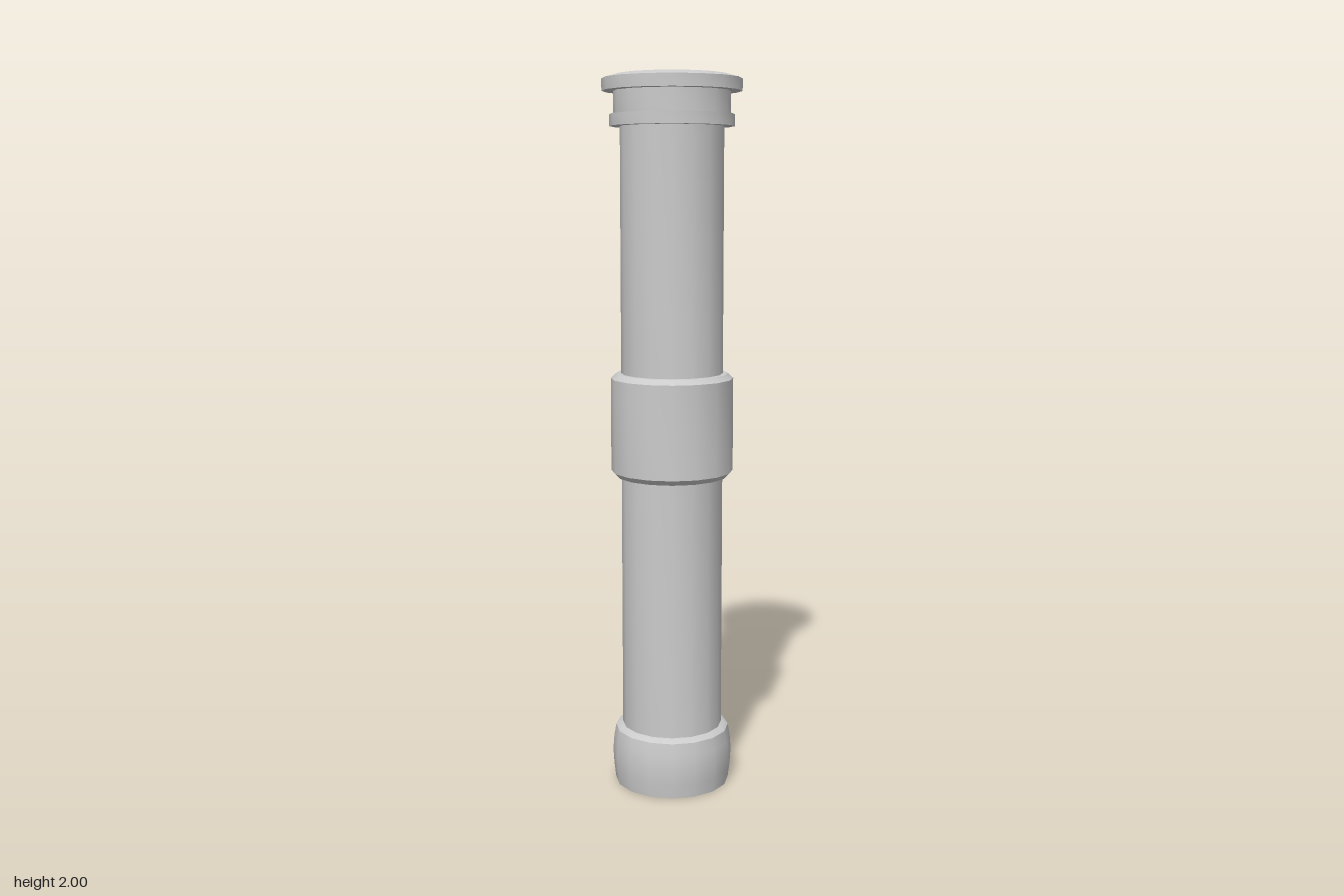
import * as THREE from 'three';
import { toCreasedNormals } from 'three/addons/utils/BufferGeometryUtils.js';

const SIDES = 16;
const material = new THREE.MeshStandardMaterial({ color: 0xcccccc, side: THREE.DoubleSide });

// Turned part from [radius, height] pairs, listed bottom to top
function turned(name, profile) {
  const points = profile.map(([r, y]) => new THREE.Vector2(r, y));
  const geometry = toCreasedNormals(new THREE.LatheGeometry(points, SIDES), 0.5);
  const mesh = new THREE.Mesh(geometry, material);
  mesh.name = name;
  return mesh;
}

export function createModel() {
  const group = new THREE.Group();
  group.name = 'column';

  group.add(
    // Bulged foot, hollow and open underneath
    turned('foot', [[0.163, 0], [0.168, 0.04], [0.171, 0.085], [0.168, 0.125], [0.162, 0.16], [0.155, 0.166], [0.142, 0.17]]),
    // Lower and upper shafts
    turned('lowerShaft', [[0.142, 0.17], [0.142, 0.9]]),
    turned('upperShaft', [[0.142, 1.185], [0.142, 1.86]]),
    // Bevelled sleeve at mid height
    turned('sleeve', [[0.142, 0.897], [0.156, 0.897], [0.171, 0.912], [0.171, 1.173], [0.156, 1.187], [0.142, 1.187]]),
    // Collar ring and neck below the cap
    turned('collar', [[0.142, 1.86], [0.171, 1.86], [0.171, 1.892], [0.16, 1.892]]),
    turned('neck', [[0.16, 1.892], [0.16, 1.953]]),
    // Cap with a shallow domed top
    turned('cap', [[0.16, 1.953], [0.191, 1.953], [0.191, 1.986], [0.15, 1.997], [0, 2]]),
  );
  return group;
}
